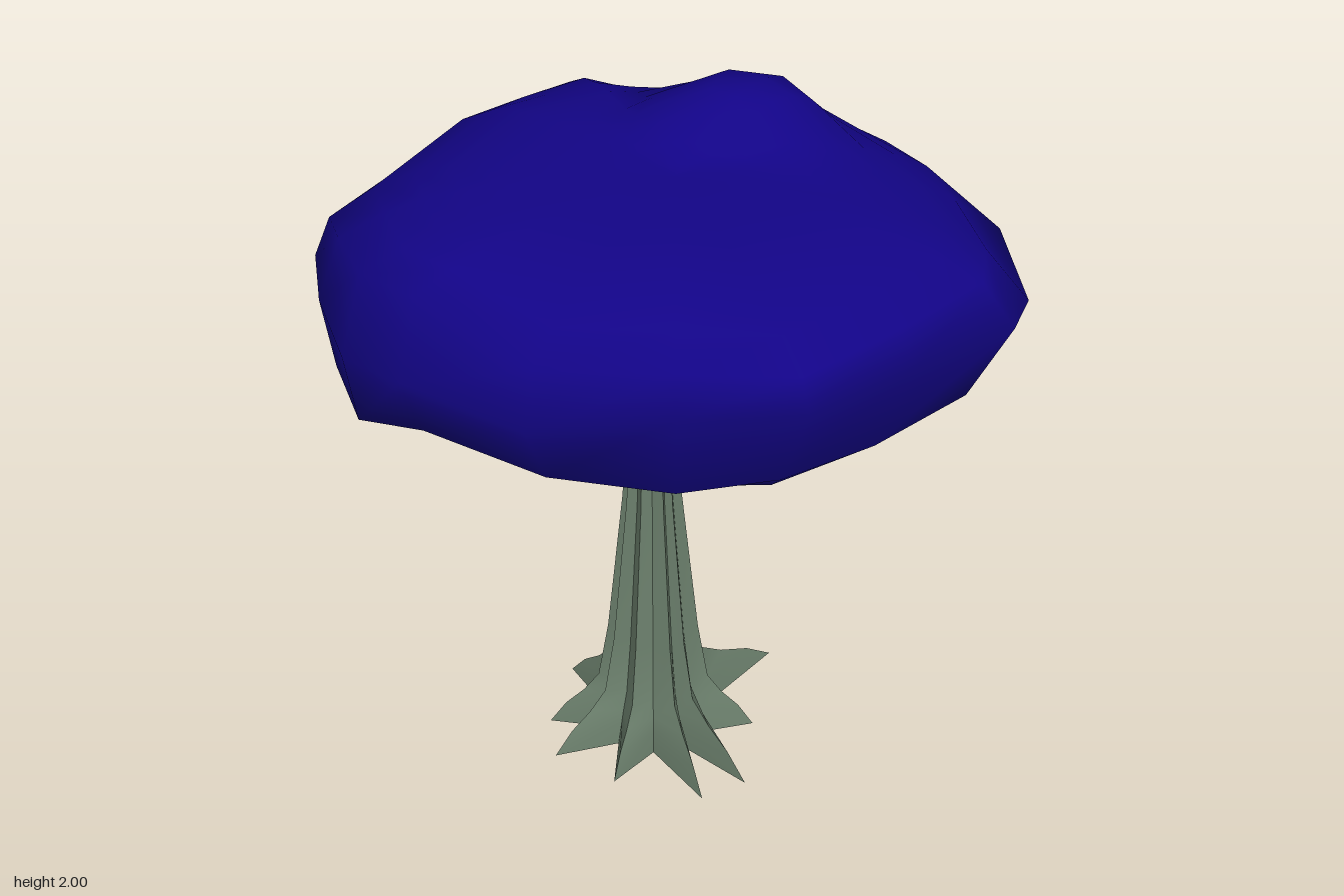
import * as THREE from 'three';
import { toCreasedNormals } from 'three/addons/utils/BufferGeometryUtils.js';

// Skin a stack of closed rings (equal point counts, listed from bottom to top)
function loft(rings) {
  const n = rings[0].length;
  const index = [];
  for (let j = 0; j < rings.length - 1; j++) {
    for (let i = 0; i < n; i++) {
      const a = j * n + i, b = j * n + (i + 1) % n;
      index.push(a, a + n, b, b, a + n, b + n);
    }
  }
  const geometry = new THREE.BufferGeometry();
  geometry.setAttribute('position', new THREE.Float32BufferAttribute(rings.flat(2), 3));
  geometry.setIndex(index);
  geometry.computeVertexNormals();
  return geometry;
}

const point = (n, p) => Array.from({ length: n }, () => p);

// Canopy rim: x, z of the widest line, then scale and height of its upper edge,
// height of the widest line, scale and height of its lower edge
const RIM = [
  [-0.47, -0.77, 0.96, 1.66, 1.57, 0.93, 1.42],
  [-0.25, -0.77, 0.97, 1.73, 1.58, 0.95, 1.43],
  [-0.04, -0.77, 0.98, 1.78, 1.60, 0.96, 1.44],
  [0.10, -0.77, 0.97, 1.70, 1.58, 0.96, 1.44],
  [0.53, -0.63, 0.95, 1.65, 1.56, 0.93, 1.43],
  [0.70, -0.49, 0.93, 1.67, 1.57, 0.92, 1.43],
  [0.80, -0.33, 0.91, 1.69, 1.58, 0.91, 1.43],
  [0.86, -0.12, 0.89, 1.71, 1.58, 0.92, 1.43],
  [0.90, 0.09, 0.85, 1.71, 1.60, 0.91, 1.43],
  [0.85, 0.38, 0.87, 1.71, 1.56, 0.90, 1.40],
  [0.73, 0.54, 0.90, 1.72, 1.60, 0.88, 1.37],
  [0.40, 0.67, 0.93, 1.73, 1.64, 0.86, 1.35],
  [0.08, 0.77, 0.94, 1.72, 1.64, 0.82, 1.35],
  [-0.22, 0.66, 0.95, 1.73, 1.62, 0.89, 1.34],
  [-0.57, 0.56, 0.94, 1.75, 1.60, 0.88, 1.40],
  [-0.80, 0.25, 0.93, 1.82, 1.59, 0.93, 1.42],
  [-0.91, 0.11, 0.93, 1.83, 1.60, 0.97, 1.40],
  [-0.91, -0.15, 0.93, 1.79, 1.61, 0.97, 1.40],
  [-0.87, -0.38, 0.95, 1.72, 1.60, 0.94, 1.41],
];

function canopyGeometry() {
  // Nearly flat top that rolls down to the upper edge, with a knob towards the back
  const topY = (x, z, edge, t) => {
    const dx = (x - 0.31) / (x > 0.31 ? 0.2 : 0.29), dz = (z + 0.24) / 0.18;
    const plateau = 1.885 - 0.05 * x - 0.05 * z;
    return plateau + (edge - plateau) * t ** 4
      + 0.12 * Math.exp(-((dx * dx + dz * dz) ** 2));
  };
  const under = (s, rise) => RIM.map(([x, z, , , , , low]) =>
    [x * s - 0.03 * (1 - s), 1.2 + (low - 1.2) * rise, z * s - 0.02 * (1 - s)]);
  const over = (t) => RIM.map(([x, z, s, edge]) =>
    [x * s * t, topY(x * s * t, z * s * t, edge, t), z * s * t]);
  return loft([
    point(RIM.length, [-0.03, 1.19, -0.03]),
    under(0.11, 0.03), under(0.3, 0.36), under(0.55, 0.57), under(0.78, 0.74),
    RIM.map(([x, z, , , , s, y]) => [x * s, y, z * s]),
    RIM.map(([x, z, , , y]) => [x, y, z]),
    ...[1, 0.86, 0.74, 0.63, 0.53, 0.44, 0.35, 0.26, 0.17, 0.08].map(over),
    point(RIM.length, [0, 1.885, 0]),
  ]);
}

// Fluted trunk: ridges run down into the root tips
const ROOTS = [[0.38, -0.18], [0.22, 0.1], [0.11, 0.33], [-0.03, 0.35], [-0.25, 0.2],
  [-0.38, 0.04], [-0.35, -0.11], [-0.22, -0.31], [0.09, -0.38], [0.2, -0.25]];
const CX = -0.05, CZ = -0.03;

function trunkGeometry() {
  const tips = ROOTS.map(([x, z]) => {
    const dx = x - CX, dz = z - CZ;
    return { angle: Math.atan2(dz, dx), length: Math.hypot(dx, dz) };
  });
  // height, ridge radius, spread towards root tip, valley radius
  const levels = [
    [0, 0.15, 1, 0.16], [0.07, 0.15, 0.7, 0.145], [0.12, 0.15, 0.36, 0.135],
    [0.18, 0.15, 0.08, 0.12], [0.37, 0.132, 0, 0.1], [0.85, 0.084, 0, 0.065], [1.22, 0.064, 0, 0.045],
  ];
  const rings = levels.map(([y, r, spread, valley]) => tips.flatMap((tip, i) => {
    let next = tips[(i + 1) % tips.length].angle;
    if (next < tip.angle) next += Math.PI * 2;
    const mid = (tip.angle + next) / 2;
    const out = r + spread * (tip.length - r);
    return [
      [CX + out * Math.cos(tip.angle), y, CZ + out * Math.sin(tip.angle)],
      [CX + valley * Math.cos(mid), y, CZ + valley * Math.sin(mid)],
    ];
  }));
  const n = rings[0].length;
  return toCreasedNormals(
    loft([point(n, [CX, 0.06, CZ]), ...rings, point(n, [CX, 1.22, CZ])]), 0.7);
}

// Crooked, tapering branches, listed from trunk to tip
const BRANCHES = {
  leftBranch: [[-0.05, 1.03, -0.04], [0.12, 1.12, -0.07], [0.2, 1.23, -0.09], [0.25, 1.23, -0.1],
    [0.33, 1.15, -0.11], [0.48, 1.36, -0.14]],
  frontBranch: [[-0.05, 1.1, -0.03], [0.08, 1.25, 0.05], [0.2, 1.21, 0.2], [0.34, 1.34, 0.38]],
  rightBranch: [[-0.06, 1.17, -0.03], [-0.2, 1.16, 0], [-0.3, 1.25, 0.04], [-0.49, 1.2, 0.12],
    [-0.66, 1.42, 0.17]],
  backBranch: [[-0.08, 0.98, -0.05], [-0.18, 1.06, -0.17], [-0.2, 1.14, -0.3], [-0.2, 1.23, -0.4],
    [-0.22, 1.25, -0.48], [-0.27, 1.37, -0.56]],
};

function branchGeometry(path) {
  const sides = 5;
  const pts = path.map((p) => new THREE.Vector3(...p));
  const rings = pts.map((p, k) => {
    const before = pts[Math.max(0, k - 1)], after = pts[Math.min(pts.length - 1, k + 1)];
    const t = after.clone().sub(before).normalize();
    const side = new THREE.Vector3(t.z, 0, -t.x).normalize();
    const lift = side.clone().cross(t);
    const r = 0.034 - 0.02 * k / (pts.length - 1);
    return Array.from({ length: sides }, (_, i) => {
      const a = i / sides * Math.PI * 2;
      return p.clone().addScaledVector(side, r * Math.cos(a)).addScaledVector(lift, r * Math.sin(a)).toArray();
    });
  });
  return toCreasedNormals(loft([...rings, point(sides, path[path.length - 1])]), 0.7);
}

export function createModel() {
  const tree = new THREE.Group();
  tree.name = 'tree';
  const bark = new THREE.MeshStandardMaterial({ color: 0x6b7f6c });
  const leaves = new THREE.MeshStandardMaterial({ color: 0x120486 });
  const add = (name, geometry, material) => {
    const mesh = new THREE.Mesh(geometry, material);
    mesh.name = name;
    tree.add(mesh);
  };
  add('canopy', canopyGeometry(), leaves);
  add('trunk', trunkGeometry(), bark);
  for (const [name, path] of Object.entries(BRANCHES)) add(name, branchGeometry(path), bark);
  return tree;
}
